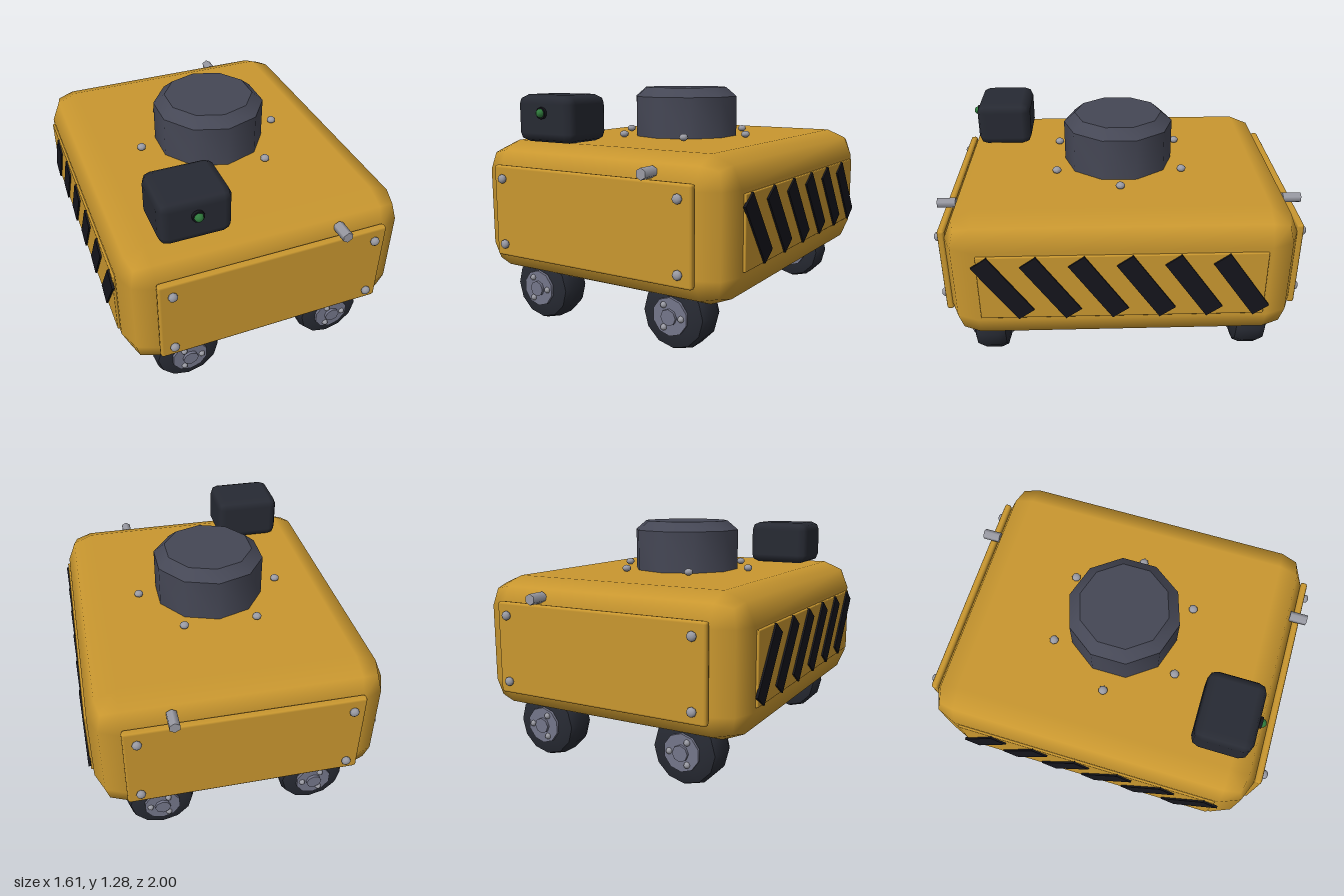
import * as THREE from 'three';
import { RoundedBoxGeometry } from 'three/addons/geometries/RoundedBoxGeometry.js';
import { toCreasedNormals } from 'three/addons/utils/BufferGeometryUtils.js';

const paint = (color) => new THREE.MeshStandardMaterial({ color });
const yellow = paint(0xc9972f);
const black = paint(0x15151c);
const rubber = paint(0x272a33);
const slate = paint(0x454755);
const hubGrey = paint(0x74768a);
const steel = paint(0x9a9ba4);
const green = paint(0x2f7a3c);

function add(parent, name, geometry, material, x = 0, y = 0, z = 0) {
  const mesh = new THREE.Mesh(geometry, material);
  mesh.name = name;
  mesh.position.set(x, y, z);
  parent.add(mesh);
  return mesh;
}

const lathe = (points, sides, crease) => toCreasedNormals(
  new THREE.LatheGeometry(points.map(([r, y]) => new THREE.Vector2(r, y)), sides), crease);

const rod = (radius, length, sides) =>
  new THREE.CylinderGeometry(radius, radius, length, sides).rotateX(Math.PI / 2);

// Flattened bolt head, axis along z
const boltGeometry = new THREE.SphereGeometry(0.026, 8, 6).rotateX(Math.PI / 2).scale(1, 1, 0.75);

// Wheel with a hub, cap and three bolts on both faces, axle along z
function createWheel() {
  const wheel = new THREE.Group();
  wheel.name = 'wheel';
  const tyre = lathe([[0, -0.1], [0.12, -0.1], [0.172, -0.083], [0.188, -0.045],
    [0.188, 0.045], [0.172, 0.083], [0.12, 0.1], [0, 0.1]], 12, 0.7);
  add(wheel, 'tyre', tyre.rotateX(Math.PI / 2), rubber);
  add(wheel, 'hub', rod(0.1, 0.23, 10), hubGrey);
  add(wheel, 'hubCap', rod(0.043, 0.26, 8), hubGrey);
  for (const side of [-1, 1]) {
    for (let i = 0; i < 3; i++) {
      const a = i * Math.PI * 2 / 3;
      add(wheel, 'wheelBolt', new THREE.SphereGeometry(0.017, 8, 6), steel,
        Math.cos(a) * 0.067, Math.sin(a) * 0.067, side * 0.115);
    }
  }
  return wheel;
}

export function createModel() {
  const model = new THREE.Group();
  model.name = 'rover';

  add(model, 'body', new RoundedBoxGeometry(1.56, 0.74, 1.86, 1, 0.16), yellow, 0, 0.63, 0);

  // Front and back panels with corner bolts and a protruding peg
  for (const side of [-1, 1]) {
    add(model, 'endPanel', new RoundedBoxGeometry(1.25, 0.5, 0.04, 1, 0.014), yellow, 0, 0.63, side * 0.946);
    for (const x of [-0.555, 0.555]) {
      for (const y of [0.45, 0.81]) add(model, 'panelBolt', boltGeometry, steel, x, y, side * 0.978);
    }
    add(model, 'peg', rod(0.03, 0.1, 6), steel, 0.37, 0.912, side * 0.95);
  }

  // Side panels with slanted hazard stripes
  for (const side of [-1, 1]) {
    add(model, 'sidePanel', new RoundedBoxGeometry(0.03, 0.38, 1.5, 1, 0.006), yellow, side * 0.778, 0.63, 0);
    for (let i = 0; i < 6; i++) {
      const stripe = add(model, 'hazardStripe', new THREE.BoxGeometry(0.014, 0.395, 0.102), black,
        side * 0.796, 0.63, (i - 2.5) * 0.248);
      stripe.rotation.x = 0.61;
    }
  }

  // Ten-sided turret ringed by six bolts
  const turret = lathe([[0.31, 0.98], [0.31, 1.232], [0.247, 1.285], [0, 1.285]], 10, 0.7);
  add(model, 'turret', turret, slate);
  for (let i = 0; i < 6; i++) {
    const a = i * Math.PI / 3;
    const bolt = add(model, 'deckBolt', boltGeometry, steel, Math.cos(a) * 0.405, 1.02, Math.sin(a) * 0.405);
    bolt.rotation.x = Math.PI / 2;
  }

  // Sensor box with a lens
  const sensor = new THREE.Group();
  sensor.name = 'sensor';
  sensor.position.set(-0.376, 1.128, 0.683);
  add(sensor, 'sensorCase', new RoundedBoxGeometry(0.38, 0.256, 0.316, 1, 0.05), rubber);
  add(sensor, 'lensRing', rod(0.032, 0.03, 10), black, 0, 0.032, 0.16);
  add(sensor, 'lens', new THREE.SphereGeometry(0.024, 10, 8), green, 0, 0.032, 0.175);
  model.add(sensor);

  for (const x of [-0.435, 0.435]) {
    for (const z of [-0.745, 0.745]) {
      const wheel = createWheel();
      wheel.position.set(x, 0.188, z);
      model.add(wheel);
    }
  }
  return model;
}
